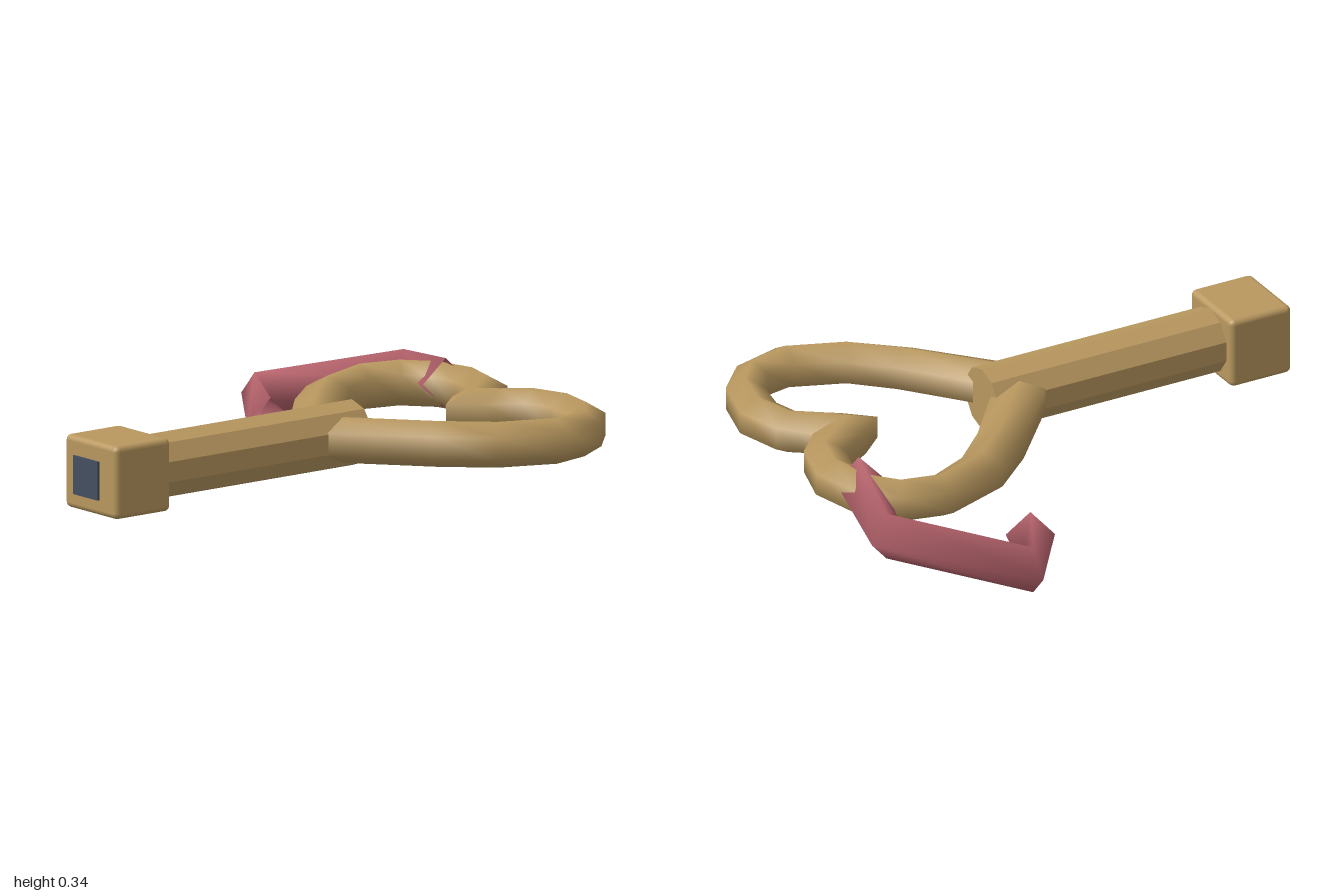
import * as THREE from 'three';
import { RoundedBoxGeometry } from 'three/addons/geometries/RoundedBoxGeometry.js';

const CX = 0.235; // x of the shaft axis
const CY = 0.217; // height of the shaft axis

// Tube through rings given as [outerX, outerZ, innerX, innerZ, centreY]
function sweep(rings, sides, phase, halfHeight) {
  const pos = [];
  const index = [];
  const widest = Math.cos(phase);
  rings.forEach(([ox, oz, ix, iz, y]) => {
    for (let j = 0; j < sides; j++) {
      const a = phase + (j / sides) * Math.PI * 2;
      const c = Math.cos(a) / widest / 2;
      pos.push((ox + ix) / 2 + (ox - ix) * c, y + Math.sin(a) * halfHeight, (oz + iz) / 2 + (oz - iz) * c);
    }
  });
  for (let i = 0; i < rings.length - 1; i++) {
    for (let j = 0; j < sides; j++) {
      const k = (j + 1) % sides;
      const a = i * sides + j, b = i * sides + k;
      const d = a + sides, c = b + sides;
      index.push(a, d, b, d, c, b);
    }
  }
  const geo = new THREE.BufferGeometry();
  geo.setAttribute('position', new THREE.Float32BufferAttribute(pos, 3));
  geo.setIndex(index);
  geo.computeVertexNormals();
  return geo;
}

export function createModel() {
  const group = new THREE.Group();
  const gold = new THREE.MeshStandardMaterial({ name: 'gold', color: 0xb9985f });
  const goldFlat = gold.clone();
  goldFlat.flatShading = true;
  const red = new THREE.MeshStandardMaterial({ name: 'dusty red', color: 0xb3616a, side: THREE.DoubleSide });
  const navy = new THREE.MeshStandardMaterial({ name: 'slate blue', color: 0x434f60 });

  const add = (name, geo, mat, x = 0, y = 0, z = 0) => {
    const mesh = new THREE.Mesh(geo, mat);
    mesh.name = name;
    mesh.position.set(x, y, z);
    group.add(mesh);
    return mesh;
  };

  // Ten-sided shaft, end block and its square inset
  const shaft = new THREE.CylinderGeometry(0.115, 0.115, 0.92, 10).rotateX(Math.PI / 2);
  add('shaft', shaft, goldFlat, CX, CY, 0.3);
  add('endBlock', new RoundedBoxGeometry(0.285, 0.255, 0.24, 2, 0.02), gold, CX, CY, 0.857);
  add('endPlate', new THREE.BoxGeometry(0.135, 0.135, 0.008), navy, CX, CY, 0.995);

  // Heart loop: one half from the shaft round to the cleft, then mirrored
  const half = [
    [0, 0.125, 0, -0.11],
    [0.381, -0.214, 0.275, -0.334],
    [0.525, -0.38, 0.405, -0.47],
    [0.61, -0.62, 0.475, -0.625],
    [0.561, -0.8, 0.455, -0.738],
    [0.44, -0.913, 0.381, -0.796],
    [0.26, -0.96, 0.26, -0.817],
    [0.095, -0.913, 0.155, -0.786],
    [0.03, -0.85, 0.085, -0.665],
    [0, -0.823, 0, -0.57],
  ];
  const place = (side) => half.map(([ox, oz, ix, iz]) => [CX + side * ox, oz, CX + side * ix, iz, CY]);
  add('heartLeft', sweep(place(1), 6, Math.PI / 6, 0.08), gold);
  add('heartRight', sweep(place(-1).reverse(), 6, Math.PI / 6, 0.08), gold);

  // Bent, open-ended ribbon tube hooked on the loop
  const ribbon = [
    [-0.077, -0.915, -0.125, -0.755, 0.237],
    [-0.48, -1.0, -0.405, -0.845, 0.197],
    [-0.85, -0.54, -0.685, -0.525, 0.113],
    [-0.537, -0.315, -0.458, -0.463, 0.09],
  ];
  add('ribbon', sweep(ribbon, 4, 0, 0.086), red);

  return group;
}
